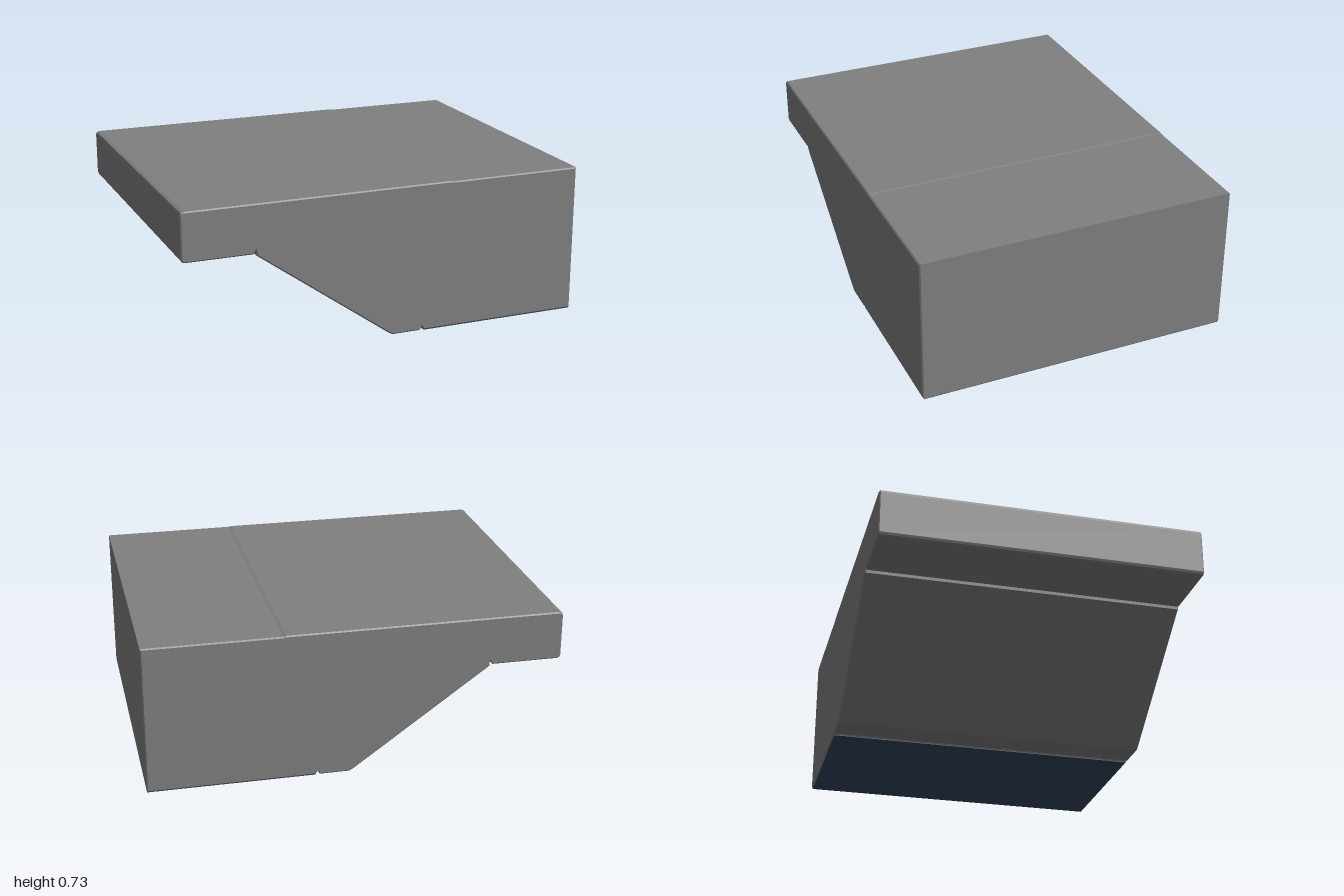
import * as THREE from 'three';

const HALF_DEPTH = 0.78;
const BEVEL = 0.006;

export function createModel() {
  const group = new THREE.Group();
  const grey = new THREE.MeshStandardMaterial({ color: 0x808080 });
  grey.name = 'grey';
  const slate = new THREE.MeshStandardMaterial({ color: 0x34495e });
  slate.name = 'slate blue';

  // Side profile: overhang, slanted underside and flat base, with small
  // grooves where the underside sections meet
  const profile = [
    [1, 0.003], [1, 0.729], [0.345, 0.729], [0.335, 0.732],
    [-0.982, 0.732], [-0.995, 0.727], [-1, 0.714],
    [-1, 0.51], [-0.995, 0.499], [-0.984, 0.494],
    [-0.66, 0.494], [-0.648, 0.514], [-0.646, 0.486],
    [0.012, 0.014], [0.035, 0.002], [0.177, 0.002], [0.187, 0.02], [0.197, 0.003],
  ].reverse().map(([x, y]) => new THREE.Vector2(x, y));

  // Solid body with a fine chamfer on the front and back edges
  const bodyGeometry = new THREE.ExtrudeGeometry(new THREE.Shape(profile), {
    depth: 2 * (HALF_DEPTH - BEVEL),
    bevelEnabled: true,
    bevelSize: BEVEL,
    bevelThickness: BEVEL,
    bevelOffset: -BEVEL,
    bevelSegments: 1,
  });
  bodyGeometry.translate(0, 0, BEVEL - HALF_DEPTH);
  const body = new THREE.Mesh(bodyGeometry, grey);
  body.name = 'body';
  group.add(body);

  // Thin panel covering the flat base
  const panel = new THREE.Mesh(
    new THREE.BoxGeometry(0.801, 0.006, 2 * (HALF_DEPTH - BEVEL)), slate);
  panel.name = 'basePanel';
  panel.position.set(0.5985, 0.003, 0);
  group.add(panel);

  return group;
}
